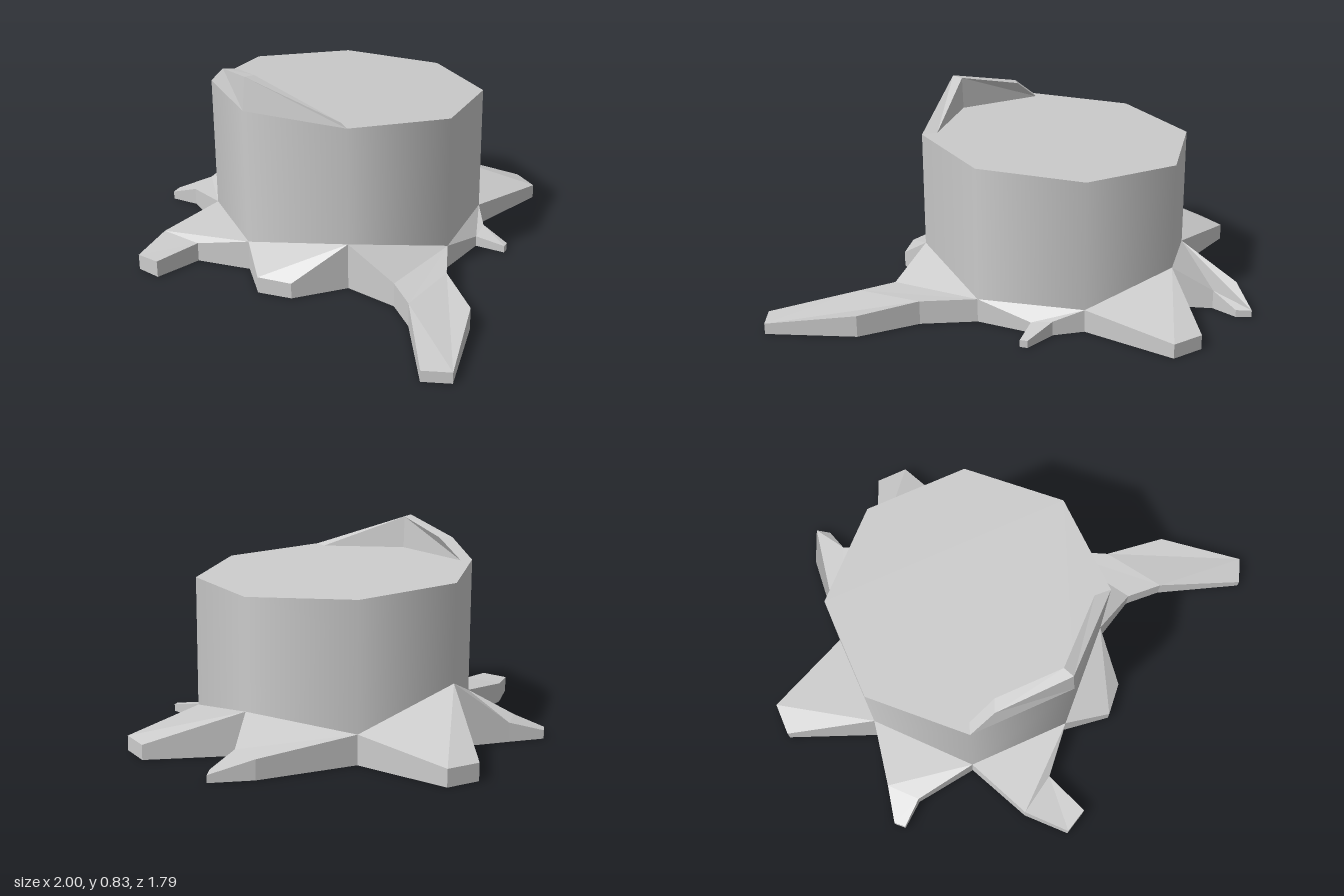
import * as THREE from 'three';

const material = new THREE.MeshStandardMaterial({ color: 0xcccccc, side: THREE.DoubleSide });
const flat = new THREE.MeshStandardMaterial({ color: 0xcccccc, side: THREE.DoubleSide, flatShading: true });

const CX = -0.145, R = 0.575, SIDES = 8;
// height where the roots meet each trunk corner, starting at +x and turning towards +z
const collar = [0.1, 0.195, 0.125, 0.12, 0.26, 0.12, 0.175, 0.095];
const cutHeight = z => 0.657 + 0.062 * z;
const corner = i => {
  const a = (i % SIDES) * Math.PI * 2 / SIDES;
  return [CX + R * Math.cos(a), collar[i % SIDES], R * Math.sin(a)];
};

// outline [x, y, z] of each root between trunk corner i and i + 1
const roots = [
  [[0.58, 0.1, 0.18], [0.81, 0.09, 0.31], [1, 0.045, 0.63], [0.91, 0.045, 0.7], [0.63, 0.097, 0.455], [0.49, 0.1, 0.385]],
  [[0.16, 0.065, 0.62], [0.03, 0.068, 0.68]],
  [[-0.355, 0.08, 0.675], [-0.36, 0.07, 0.88], [-0.47, 0.065, 0.89], [-0.54, 0.085, 0.705]],
  [[-0.81, 0.075, 0.335], [-0.93, 0.035, 0.37], [-0.95, 0.035, 0.325], [-0.86, 0.08, 0.2]],
  [[-1, 0.07, -0.28], [-0.945, 0.07, -0.41]],
  [[-0.36, 0.08, -0.77], [-0.24, 0.03, -0.9], [-0.205, 0.03, -0.845], [-0.225, 0.08, -0.73]],
  [[0.13, 0.06, -0.86], [0.26, 0.06, -0.81]],
  [[0.36, 0.06, -0.32], [0.505, 0.03, -0.3], [0.515, 0.03, -0.27], [0.39, 0.045, -0.235]],
];

// flat-shaded mesh from triangles and quads
function facets(name, faces) {
  const pos = [];
  for (const f of faces)
    for (let i = 1; i < f.length - 1; i++) pos.push(...f[0], ...f[i], ...f[i + 1]);
  const geo = new THREE.BufferGeometry();
  geo.setAttribute('position', new THREE.Float32BufferAttribute(pos, 3));
  geo.computeVertexNormals();
  const mesh = new THREE.Mesh(geo, flat);
  mesh.name = name;
  return mesh;
}

// smooth bark wall, jagged at the collar and slanted at the cut
function makeTrunk() {
  const pos = [], index = [];
  for (let i = 0; i < SIDES; i++) {
    const [x, y, z] = corner(i);
    pos.push(x, y, z, x, cutHeight(z), z);
    const a = 2 * i, b = 2 * ((i + 1) % SIDES);
    index.push(a, a + 1, b, b, a + 1, b + 1);
  }
  const geo = new THREE.BufferGeometry();
  geo.setAttribute('position', new THREE.Float32BufferAttribute(pos, 3));
  geo.setIndex(index);
  // radial normals keep the bark evenly rounded
  const normals = [];
  for (let i = 0; i < SIDES; i++) {
    const [x, , z] = corner(i);
    normals.push((x - CX) / R, 0, z / R, (x - CX) / R, 0, z / R);
  }
  geo.setAttribute('normal', new THREE.Float32BufferAttribute(normals, 3));
  const mesh = new THREE.Mesh(geo, material);
  mesh.name = 'trunk';
  return mesh;
}

// sloping top sheet with walls down to the soil, open underneath
function makeRoot(points, i) {
  const outline = [corner(i), ...points, corner(i + 1)];
  const flatOutline = outline.map(p => new THREE.Vector2(p[0], p[2]));
  const faces = THREE.ShapeUtils.triangulateShape(flatOutline, []).map(t => {
    const [a, b, c] = t.map(k => outline[k]);
    const up = (b[2] - a[2]) * (c[0] - a[0]) - (b[0] - a[0]) * (c[2] - a[2]);
    return up > 0 ? [a, b, c] : [a, c, b];
  });
  for (let k = 0; k < outline.length - 1; k++) {
    const a = outline[k], b = outline[k + 1];
    faces.push([[a[0], 0, a[2]], a, b, [b[0], 0, b[2]]]);
  }
  return facets('root' + (i + 1), faces);
}

// splinter left standing on the front rim
function makeSplinter() {
  const rim = i => { const [x, , z] = corner(i); return [x, cutHeight(z), z]; };
  const right = rim(3), mid = rim(2), left = rim(1);
  const ridge = [-0.44, 0.765, 0.43], peak = [CX, 0.83, 0.56];
  const ridgeIn = [-0.4, 0.765, 0.39], peakIn = [CX, 0.825, 0.51];
  const baseR = [-0.52, 0.679, 0.37], baseM = [CX, 0.688, 0.505], baseL = [0.2, 0.68, 0.375];
  return facets('splinter', [
    [mid, peak, ridge, right], [left, peak, mid],
    [ridge, peak, peakIn, ridgeIn], [peak, left, baseL, peakIn],
    [right, ridge, ridgeIn, baseR],
    [baseR, ridgeIn, peakIn, baseM], [baseM, peakIn, baseL],
  ]);
}

export function createModel() {
  const group = new THREE.Group();
  group.name = 'treeStump';
  group.add(makeTrunk());

  const cut = [];
  for (let i = SIDES; i > 0; i--) {
    const [x, , z] = corner(i);
    cut.push([x, cutHeight(z), z]);
  }
  group.add(facets('cutTop', [cut]));
  group.add(makeSplinter());

  const rootGroup = new THREE.Group();
  rootGroup.name = 'roots';
  roots.forEach((points, i) => rootGroup.add(makeRoot(points, i)));
  group.add(rootGroup);
  return group;
}
